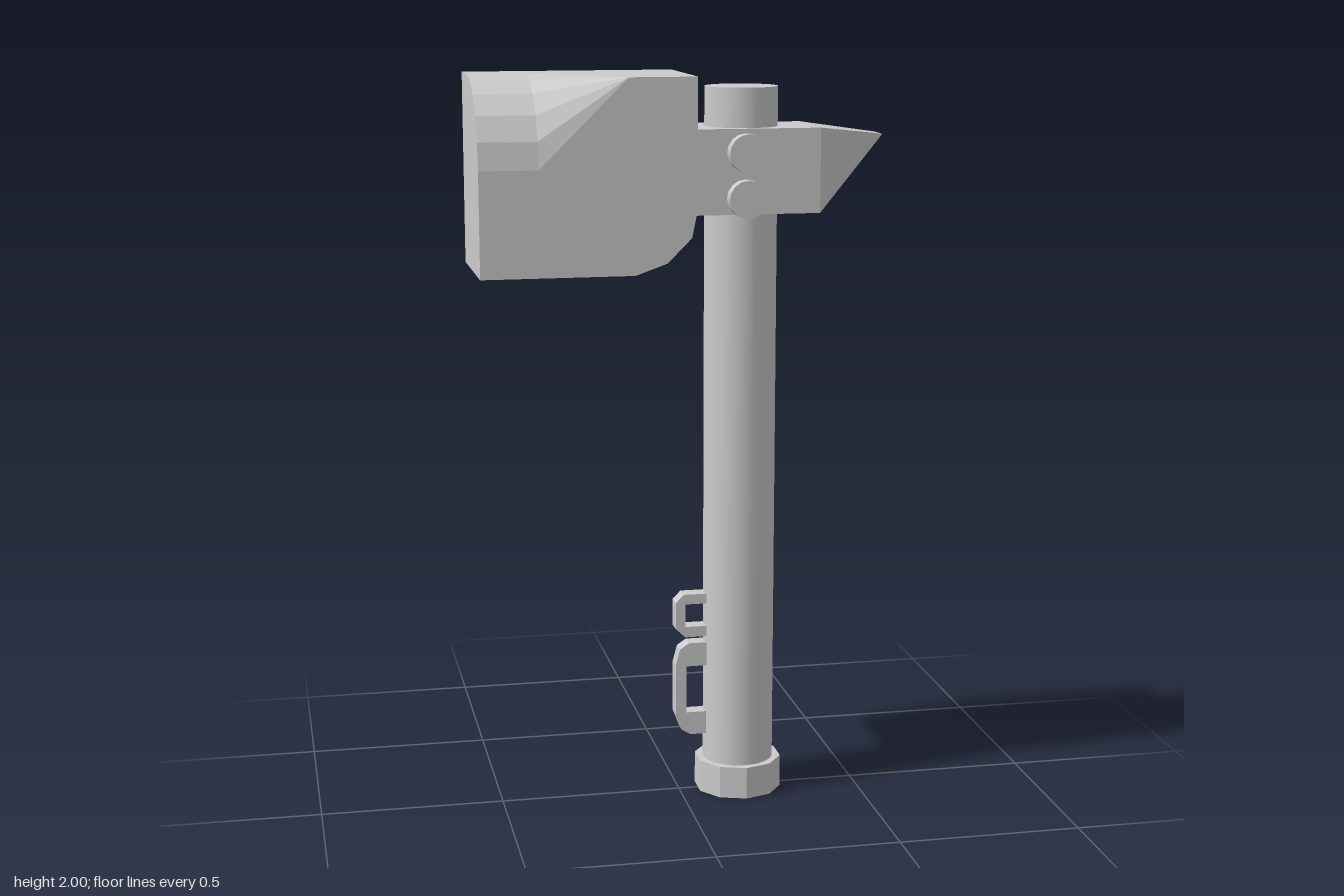
import * as THREE from 'three';
import { ConvexGeometry } from 'three/addons/geometries/ConvexGeometry.js';
import { mergeGeometries } from 'three/addons/utils/BufferGeometryUtils.js';

const smooth = new THREE.MeshStandardMaterial({ color: 0xcccccc });
const flat = new THREE.MeshStandardMaterial({ color: 0xcccccc, flatShading: true });
const V = (x, y, z) => new THREE.Vector3(x, y, z);

function add(parent, name, geometry, material, x = 0, y = 0, z = 0) {
  const mesh = new THREE.Mesh(geometry, material);
  mesh.name = name;
  mesh.position.set(x, y, z);
  parent.add(mesh);
  return mesh;
}

// Convex solid without the faces that lie on the plane x = cut
function openHull(points, cut) {
  const p = new ConvexGeometry(points).getAttribute('position');
  const out = [];
  for (let i = 0; i < p.count; i += 3) {
    if ([0, 1, 2].every(k => Math.abs(p.getX(i + k) - cut) < 1e-4)) continue;
    for (let k = 0; k < 3; k++) out.push(p.getX(i + k), p.getY(i + k), p.getZ(i + k));
  }
  const g = new THREE.BufferGeometry();
  g.setAttribute('position', new THREE.Float32BufferAttribute(out, 3));
  g.computeVertexNormals();
  return g;
}

// Heavy block: rounded upper front edge at the outer end, running out to a point
function blockGeometry() {
  const end = -0.555, cut = -0.4, top = 2, bottom = 1.49, half = 0.177, r = 0.232;
  const section = x => {
    const pts = [V(x, bottom, half), V(x, bottom, -half), V(x, top, -half)];
    for (let i = 0; i <= 5; i++) {
      const a = i * Math.PI / 10;
      pts.push(V(x, top - r + r * Math.cos(a), half - r + r * Math.sin(a)));
    }
    return pts;
  };
  const inner = [...section(cut), V(-0.165, top, half)];
  // Profile of the inner end with its rounded lower corner
  for (const [x, y] of [[0.015, 2], [0.015, 1.66], [0, 1.585], [-0.065, 1.52], [-0.15, bottom]])
    inner.push(V(x, y, half), V(x, y, -half));
  return mergeGeometries([
    openHull([...section(end), ...section(cut)], cut),
    openHull(inner, cut),
  ]);
}

// Collar around the handle, drawn out to a narrow pick
function pickGeometry() {
  const pts = [];
  const corners = [
    [0.015, 1.86, 0.115], [0.015, 1.635, 0.115],
    [0.36, 1.86, 0.115], [0.36, 1.635, 0.115],
    [0.4, 1.657, 0.04], [0.55, 1.835, 0.04],
  ];
  for (const [x, y, z] of corners) pts.push(V(x, y, z - 0.003), V(x, y, -z - 0.003));
  return new ConvexGeometry(pts);
}

// Flat ring cut from an outer and an inner outline
function loopGeometry(outer, inner, depth) {
  const toVec = pts => pts.map(([x, y]) => new THREE.Vector2(x, y));
  const shape = new THREE.Shape(toVec(outer));
  shape.holes.push(new THREE.Path(toVec(inner)));
  const g = new THREE.ExtrudeGeometry(shape, { depth, bevelEnabled: false });
  return g.translate(0, 0, -depth / 2);
}

export function createModel() {
  const model = new THREE.Group();
  model.name = 'hammer';
  const hx = 0.17, hz = -0.005;

  // Handle and end cap
  add(model, 'handle', new THREE.CylinderGeometry(0.098, 0.098, 1.925, 32), smooth, hx, 1.0025, hz);
  add(model, 'pommel', new THREE.CylinderGeometry(0.121, 0.121, 0.09, 10), flat, hx, 0.045, hz);

  // Head
  add(model, 'hammerBlock', blockGeometry(), flat);
  add(model, 'pick', pickGeometry(), flat);

  // Bolts through the collar
  for (const y of [1.8, 1.68]) {
    const bolt = new THREE.Group();
    bolt.name = 'bolt';
    bolt.position.set(0.152, y, 0);
    model.add(bolt);
    add(bolt, 'boltShaft', new THREE.CylinderGeometry(0.036, 0.036, 0.277, 16), smooth, 0, 0, 0.0015).rotation.x = Math.PI / 2;
    add(bolt, 'boltHead', new THREE.CylinderGeometry(0.05, 0.05, 0.037, 16), smooth, 0, 0, 0.15).rotation.x = Math.PI / 2;
  }

  // Strap loops on the side of the handle
  add(model, 'upperLoop', loopGeometry(
    [[0.1, 0.45], [0.1, 0.573], [0.01, 0.573], [-0.012, 0.55], [-0.012, 0.475], [0.015, 0.45]],
    [[0.09, 0.48], [0.09, 0.545], [0.016, 0.545], [0.016, 0.48]], 0.045), flat, 0, 0, hz);
  add(model, 'lowerLoop', loopGeometry(
    [[0.1, 0.165], [0.1, 0.432], [0.025, 0.432], [0, 0.415], [-0.012, 0.37], [-0.012, 0.225], [0.005, 0.18], [0.03, 0.165]],
    [[0.09, 0.23], [0.09, 0.365], [0.018, 0.365], [0.018, 0.23]], 0.045), flat, 0, 0, hz);

  return model;
}
